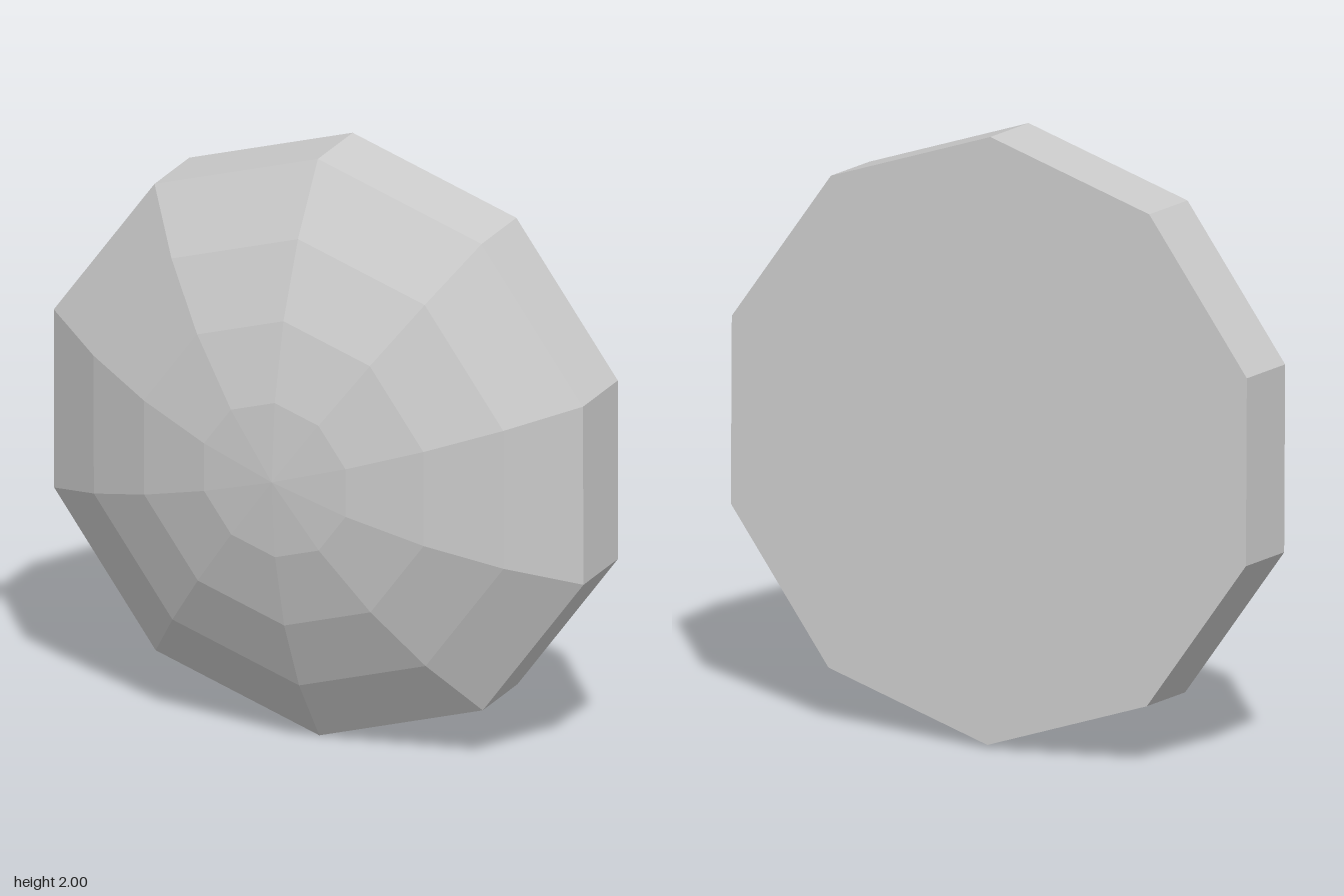
import * as THREE from 'three';

const SIDES = 10;
const RADIUS = 0.9955;
const RIM_DEPTH = 0.25;
const DOME_HEIGHT = 0.337;
const DOME_RINGS = 4;

// Faceted solid of revolution, turned so that its axis points along +z
function turned(name, profile, material) {
  const points = profile.map(([r, h]) => new THREE.Vector2(r, h));
  const geometry = new THREE.LatheGeometry(points, SIDES).rotateX(Math.PI / 2);
  const mesh = new THREE.Mesh(geometry, material);
  mesh.name = name;
  return mesh;
}

export function createModel() {
  const grey = new THREE.MeshStandardMaterial({ color: 0xcccccc, flatShading: true });
  grey.name = 'light grey';

  // Flat back and straight rim
  const base = turned('base', [[0, 0], [RADIUS, 0], [RADIUS, RIM_DEPTH]], grey);

  // Shallow spherical cap, evenly divided by angle from rim to apex
  const sphere = (RADIUS ** 2 + DOME_HEIGHT ** 2) / (2 * DOME_HEIGHT);
  const spread = Math.asin(RADIUS / sphere);
  const cap = [];
  for (let i = DOME_RINGS; i >= 0; i--) {
    const angle = (spread * i) / DOME_RINGS;
    cap.push([sphere * Math.sin(angle), RIM_DEPTH + DOME_HEIGHT - sphere * (1 - Math.cos(angle))]);
  }
  const dome = turned('dome', cap, grey);

  // Whole body leans and faces partly to its right
  const body = new THREE.Group();
  body.name = 'domedDisc';
  body.add(base, dome);
  body.rotation.set(0.05, -0.416, 0);
  body.position.set(0.05, 1.006, -0.125);

  const model = new THREE.Group();
  model.name = 'model';
  model.add(body);
  return model;
}
